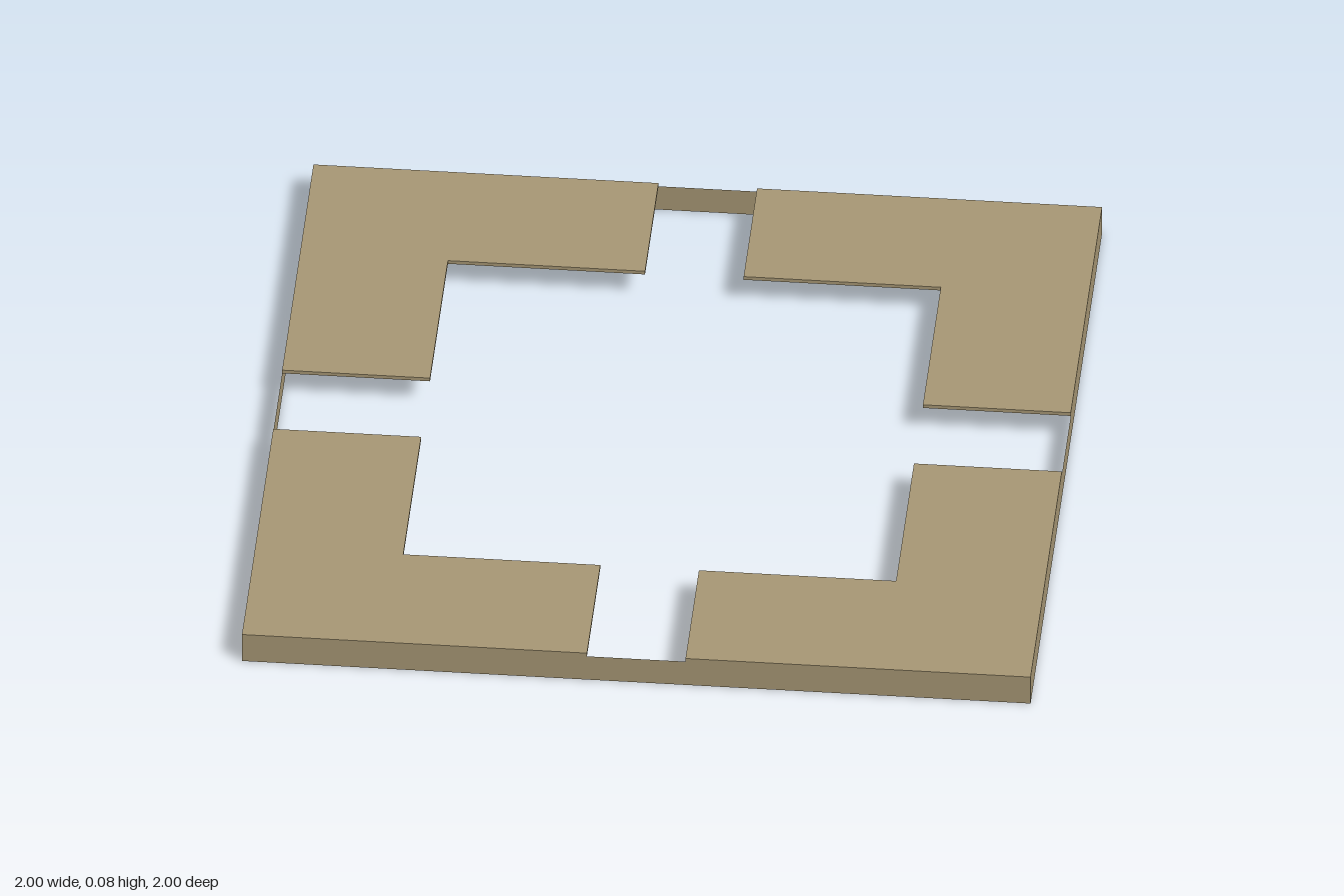
import * as THREE from 'three';

const WALL_H = 0.073;   // height of the thin rim
const PLATE_T = 0.01;   // thickness of the corner plates
const INNER = 0.625;    // inner edge of the plates
const GAP = 0.125;      // half the gap between plates

export function createModel() {
  const model = new THREE.Group();
  model.name = 'cornerFrame';
  const tan = new THREE.MeshStandardMaterial({ color: 0xa89875, side: THREE.DoubleSide });
  tan.name = 'tan';

  // L-shaped corner plate, extruded upwards
  const outline = [[GAP, INNER], [INNER, INNER], [INNER, GAP], [1, GAP], [1, 1], [GAP, 1]];
  const shape = new THREE.Shape(outline.map(([x, y]) => new THREE.Vector2(x, y)));
  const plateGeo = new THREE.ExtrudeGeometry(shape, { depth: PLATE_T, bevelEnabled: false });
  plateGeo.rotateX(-Math.PI / 2).translate(0, WALL_H, 0);

  // Rim wall: a single open sheet along one side
  const wallGeo = new THREE.PlaneGeometry(2, WALL_H);
  wallGeo.translate(0, WALL_H / 2, 1);

  // Four corners and four sides
  for (let i = 0; i < 4; i++) {
    const plate = new THREE.Mesh(plateGeo, tan);
    plate.name = 'cornerPlate' + (i + 1);
    const wall = new THREE.Mesh(wallGeo, tan);
    wall.name = 'rimWall' + (i + 1);
    plate.rotation.y = wall.rotation.y = i * Math.PI / 2;
    model.add(plate, wall);
  }
  return model;
}
